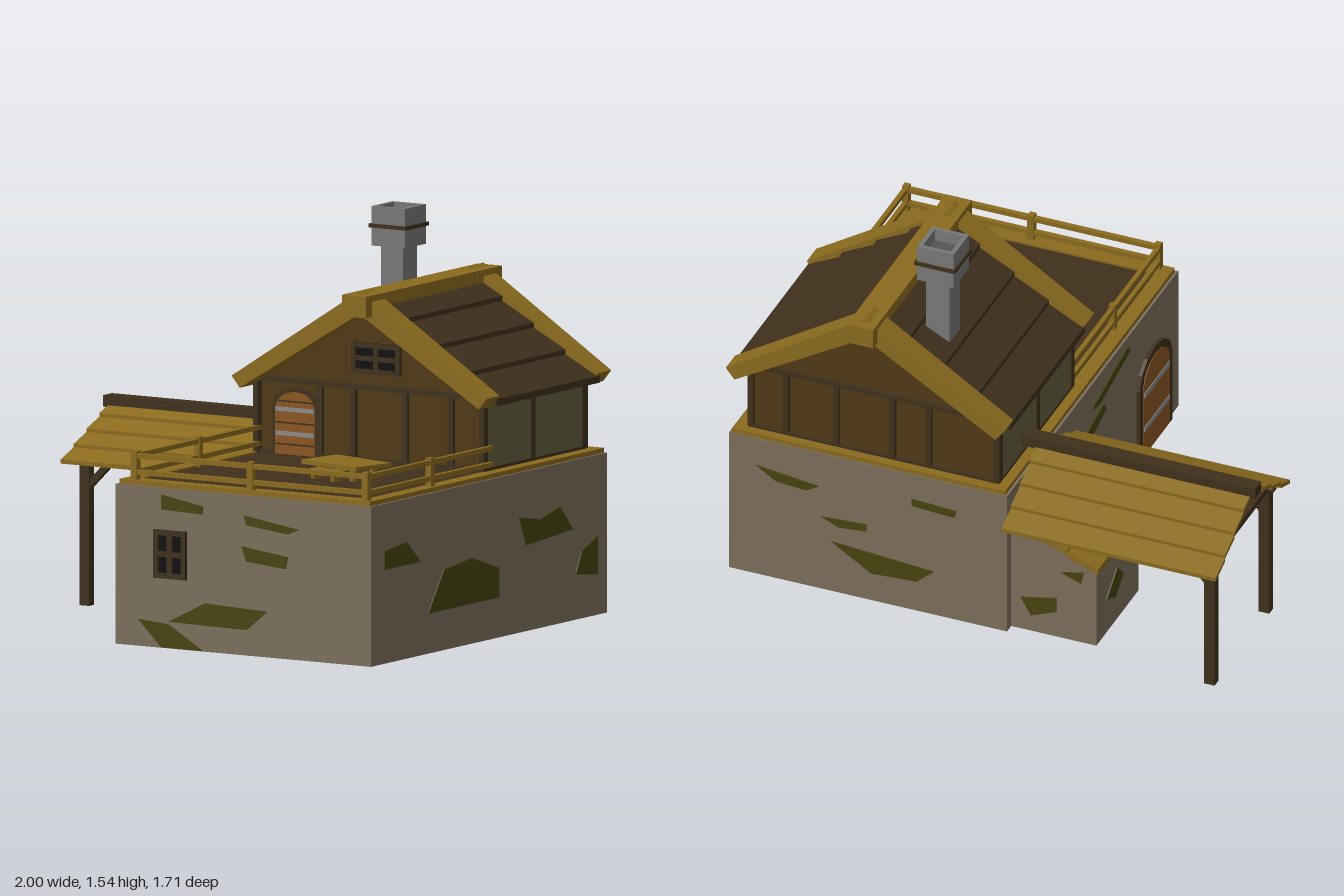
import * as THREE from 'three';

const STONE = 0x7b6e5b, WOOD = 0x8a6a1e, DARK = 0x3f301c, WALL = 0x503814, MOSS = 0x47430f,
  OLIVE = 0x625f3e, IRON = 0x777777, BLACK = 0x0e0e0e, ORANGE = 0x8a5420;

const mats = {};
const mat = (c) => (mats[c] ??= new THREE.MeshStandardMaterial({ color: c, flatShading: true }));

export function createModel() {
  const model = new THREE.Group();
  const add = (name, color, geo, parent = model) => {
    const m = new THREE.Mesh(geo, mat(color));
    m.name = name;
    parent.add(m);
    return m;
  };
  // Box from its limits
  const box = (name, color, x0, x1, y0, y1, z0, z1, parent) => {
    const m = add(name, color, new THREE.BoxGeometry(x1 - x0, y1 - y0, z1 - z0), parent);
    m.position.set((x0 + x1) / 2, (y0 + y1) / 2, (z0 + z1) / 2);
    return m;
  };
  // Outline of (x, y) points pushed from z0 to z1, with optional hole
  const prism = (name, color, pts, z0, z1, hole) => {
    const shape = new THREE.Shape(pts.map((p) => new THREE.Vector2(...p)));
    if (hole) shape.holes.push(new THREE.Path(hole.map((p) => new THREE.Vector2(...p))));
    const m = add(name, color, new THREE.ExtrudeGeometry(shape, { depth: z1 - z0, bevelEnabled: false }));
    m.position.z = z0;
    return m;
  };
  // Outline of (z, y) points pushed from x0 to x1
  const prismX = (name, color, pts, x0, x1, hole) => {
    const m = prism(name, color, pts, 0, x1 - x0, hole);
    m.rotation.y = -Math.PI / 2;
    m.position.set(x1, 0, 0);
    return m;
  };
  // Sloping board of thickness t below the line a-b
  const board = ([ax, ay], [bx, by], t) => [[ax, ay], [bx, by], [bx, by - t], [ax, ay - t]];
  const arch = (c, w, y0, y1) => {
    const pts = [[c - w / 2, y0], [c + w / 2, y0]];
    const rise = w * 0.36;
    for (let i = 0; i <= 6; i++) {
      const a = (i / 6) * Math.PI;
      pts.push([c + Math.cos(a) * w / 2, y1 - rise + Math.sin(a) * rise]);
    }
    return pts;
  };

  // Stone base and floor
  box('stoneBase', STONE, -0.12, 0.99, 0.05, 0.645, -0.79, 0.84);
  box('terraceFloor', DARK, -0.06, 0.94, 0.64, 0.655, -0.74, 0.78);
  box('borderFront', WOOD, -0.11, 0.98, 0.64, 0.663, 0.77, 0.83);
  box('borderBack', WOOD, -0.11, 0.98, 0.64, 0.663, -0.785, -0.73);
  for (const x of [-0.11, 0.925]) box('borderSide', WOOD, x, x + 0.055, 0.64, 0.662, -0.785, 0.83);

  // Terrace railing
  for (const y of [0.682, 0.742]) {
    box('frontRail', WOOD, -0.06, 0.96, y, y + 0.018, 0.8, 0.82);
    for (const x of [-0.065, 0.945]) box('sideRail', WOOD, x, x + 0.018, y, y + 0.018, -0.05, 0.82);
  }
  for (const x of [-0.065, 0.44, 0.94]) box('railPost', WOOD, x, x + 0.025, 0.65, 0.768, 0.797, 0.825);
  for (const x of [-0.067, 0.942]) box('railPost', WOOD, x, x + 0.024, 0.65, 0.768, 0.36, 0.385);

  // Table with a bench
  const table = new THREE.Group();
  table.name = 'table';
  table.position.set(0.55, 0, 0.31);
  table.rotation.y = -0.245;
  model.add(table);
  box('tableTop', WOOD, -0.145, 0.145, 0.7, 0.716, -0.09, 0.09, table);
  for (const x of [-0.1, 0.08]) for (const z of [-0.06, 0.04])
    box('tableLeg', WOOD, x, x + 0.02, 0.655, 0.7, z, z + 0.02, table);
  box('benchSeat', WOOD, -0.04, 0.1, 0.68, 0.692, 0.06, 0.13, table).position.x = -0.01;
  for (const x of [-0.07, 0.035]) box('benchLeg', WOOD, x, x + 0.015, 0.655, 0.68, 0.075, 0.115, table);

  // Upper house walls
  prism('houseWalls', WALL, [[-0.06, 0.65], [0.92, 0.65], [0.92, 0.93], [0.44, 1.23], [-0.06, 0.93]], -0.735, -0.055);
  for (const [z0, z1] of [[-0.06, -0.04], [-0.75, -0.73]]) {
    for (const x of [-0.07, 0.2, 0.345, 0.57, 0.77, 0.91]) box('wallPost', DARK, x, x + 0.022, 0.655, 0.93, z0, z1);
    box('wallBeam', DARK, -0.07, 0.932, 0.925, 0.945, z0, z1);
    box('wallSill', DARK, -0.07, 0.932, 0.655, 0.672, z0, z1);
  }
  for (const s of [-1, 1]) {
    const c = s < 0 ? -0.062 : 0.922;
    for (const [z0, z1] of [[-0.36, -0.06], [-0.73, -0.39]])
      box('plasterPanel', OLIVE, c - 0.006, c + 0.006, 0.67, 0.925, z0, z1);
    for (const z of [-0.062, -0.39, -0.745]) box('sidePost', DARK, c - 0.01, c + 0.01, 0.655, 0.94, z, z + 0.03);
    for (const y of [0.655, 0.92]) box('sideBeam', DARK, c - 0.01, c + 0.01, y, y + 0.018, -0.745, -0.04);
  }

  // Roof: four overlapping boards a side, gable trim, ridge beam
  for (const s of [-1, 1]) {
    const at = (t, lift = 0) => [0.435 + s * 0.55 * (1 - t), 0.93 + 0.355 * t + lift];
    for (let i = 0; i < 4; i++)
      prism('roofBoard', DARK, board(at(i / 4, 0.006), at((i + 1) / 4, -0.012), 0.026), -0.75, -0.035);
    for (const [z0, z1] of [[-0.05, 0.04], [-0.82, -0.73]])
      prism('gableTrim', WOOD, [[0.435, 1.305], [0.435 + s * 0.555, 0.948], [0.435 + s * 0.52, 0.905], [0.435, 1.22]], z0, z1);
  }
  box('ridgeBeam', WOOD, 0.385, 0.49, 1.213, 1.293, -0.86, 0.08);

  // Chimney with hollow cap
  box('chimneyStack', IRON, 0.19, 0.285, 1.05, 1.4, -0.597, -0.5);
  const square = (r) => [[-r, -r], [r, -r], [r, r], [-r, r]];
  for (const [name, color, r, h, y0, y1] of [['chimneyCap', IRON, 0.073, 0.056, 1.39, 1.537], ['chimneyBand', DARK, 0.081, 0.07, 1.458, 1.472]]) {
    const m = prism(name, color, square(r), 0, y1 - y0, square(h));
    m.rotation.x = -Math.PI / 2;
    m.position.set(0.237, y0, -0.548);
  }
  box('chimneyInside', 0x555555, 0.175, 0.3, 1.39, 1.49, -0.61, -0.486);

  // Arched doors
  prism('houseDoorFrame', DARK, arch(0.107, 0.2, 0.655, 0.91), -0.06, -0.042);
  prism('houseDoor', ORANGE, arch(0.107, 0.17, 0.66, 0.895), -0.06, -0.036);
  for (const y of [0.73, 0.82]) box('doorBand', 0x8a8a8a, 0.025, 0.19, y, y + 0.016, -0.05, -0.032);
  for (const y of [0.695, 0.775, 0.855]) box('doorGroove', DARK, 0.025, 0.19, y, y + 0.006, -0.05, -0.034);
  prismX('cellarDoorFrame', DARK, arch(0.595, 0.31, 0.05, 0.47), -0.134, -0.11);
  prismX('cellarDoor', ORANGE, arch(0.595, 0.25, 0.055, 0.44), -0.137, -0.11);
  for (const y of [0.16, 0.31]) box('doorBand', 0x8a8a8a, -0.14, -0.12, y, y + 0.022, 0.475, 0.715);

  // Windows: dark glass behind a cross of bars
  const window4 = (x0, x1, y0, y1, z, b) => {
    box('windowGlass', BLACK, x0, x1, y0, y1, z - 0.01, z + 0.004);
    for (const x of [x0, (x0 + x1 - b) / 2, x1 - b]) box('windowBar', DARK, x, x + b, y0, y1, z - 0.01, z + 0.013);
    for (const y of [y0, (y0 + y1 - b) / 2, y1 - b]) box('windowBar', DARK, x0, x1, y, y + b, z - 0.01, z + 0.012);
  };
  window4(0.05, 0.19, 0.31, 0.49, 0.84, 0.02);
  window4(0.35, 0.56, 0.985, 1.1, -0.052, 0.018);

  // Lean-to shed with sloping roof
  prism('shed', STONE, [[-0.46, 0.05], [-0.12, 0.05], [-0.12, 0.54], [-0.46, 0.395]], -0.75, -0.35);
  for (let i = 0; i < 3; i++) {
    const p = (t, d) => [-0.48 + 0.37 * t, 0.4 + 0.165 * t + d];
    prism('shedRoofBoard', WOOD, board(p(i / 3, 0.008), p((i + 1) / 3, -0.004), 0.022), -0.78, -0.33);
  }

  // Canopy on two posts
  for (const s of [-1, 1]) {
    const at = (t, d) => [-0.5 + s * 0.355 * (1 - t), 0.54 + 0.185 * t + d];
    for (let i = 0; i < 4; i++)
      prismX('canopyBoard', WOOD, board(at(i / 4, 0.006), at((i + 1) / 4, -0.007), 0.016), -0.98, -0.125);
    const z = -0.48 + s * 0.26;
    box('canopyPost', DARK, -0.935, -0.893, 0, 0.565, z - 0.018, z + 0.018);
    box('canopyBeam', DARK, -0.95, -0.12, 0.535, 0.56, z - 0.015, z + 0.015);
    prism('canopyBrace', DARK, [[-0.9, 0.43], [-0.9, 0.465], [-0.82, 0.545], [-0.785, 0.545]], z - 0.012, z + 0.012);
  }
  box('canopyTie', DARK, -0.93, -0.9, 0.535, 0.56, -0.74, -0.22);
  box('canopyRidge', DARK, -1, -0.05, 0.7, 0.743, -0.53, -0.47);

  // Moss patches on the walls
  const front = (z, list) => list.forEach((p) => prism('moss', MOSS, p, z - 0.005, z + 0.005));
  const side = (x, list) => list.forEach((p) => prismX('moss', MOSS, p, x - 0.005, x + 0.005));
  front(0.84, [
    [[0.08, 0.62], [0.26, 0.59], [0.26, 0.56], [0.08, 0.565]],
    [[0.44, 0.57], [0.68, 0.535], [0.63, 0.515], [0.45, 0.535]],
    [[0.43, 0.455], [0.63, 0.43], [0.62, 0.385], [0.45, 0.4]],
    [[-0.02, 0.15], [0.11, 0.14], [0.26, 0.052], [0.08, 0.052]],
    [[0.11, 0.15], [0.27, 0.23], [0.54, 0.22], [0.45, 0.145]],
  ]);
  front(-0.79, [
    [[0.88, 0.53], [0.63, 0.5], [0.68, 0.47], [0.8, 0.48]],
    [[0.62, 0.37], [0.44, 0.38], [0.44, 0.35], [0.55, 0.34]],
    [[0.26, 0.54], [0.08, 0.53], [0.09, 0.5], [0.26, 0.51]],
    [[0.58, 0.27], [0.17, 0.24], [0.24, 0.18], [0.42, 0.17]],
  ]);
  side(0.99, [
    [[0.75, 0.47], [0.6, 0.485], [0.5, 0.4], [0.75, 0.4]],
    [[0.34, 0.35], [0.15, 0.37], [-0.04, 0.31], [-0.04, 0.2], [0.45, 0.2]],
    [[-0.18, 0.48], [-0.32, 0.455], [-0.46, 0.485], [-0.55, 0.39], [-0.23, 0.37]],
    [[-0.61, 0.3], [-0.72, 0.345], [-0.72, 0.2], [-0.57, 0.22]],
  ]);
  side(-0.12, [
    [[0, 0.54], [0.35, 0.61], [0.38, 0.58], [0.08, 0.52]],
    [[-0.1, 0.45], [0.12, 0.5], [0.15, 0.46], [-0.04, 0.41]],
    [[-0.05, 0.22], [0.25, 0.26], [0.3, 0.17], [0.05, 0.14]],
  ]);
  front(-0.35, [
    [[-0.42, 0.36], [-0.35, 0.375], [-0.36, 0.35]],
    [[-0.24, 0.39], [-0.17, 0.42], [-0.18, 0.38]],
    [[-0.34, 0.27], [-0.29, 0.3], [-0.3, 0.265]],
    [[-0.33, 0.2], [-0.2, 0.235], [-0.22, 0.18], [-0.29, 0.14]],
  ]);
  front(-0.75, [
    [[-0.16, 0.19], [-0.3, 0.22], [-0.3, 0.16], [-0.2, 0.12]],
    [[-0.32, 0.34], [-0.41, 0.36], [-0.4, 0.31]],
  ]);
  side(-0.46, [
    [[-0.66, 0.2], [-0.56, 0.28], [-0.5, 0.22], [-0.58, 0.16]],
    [[-0.45, 0.32], [-0.39, 0.34], [-0.4, 0.27]],
  ]);
  return model;
}
